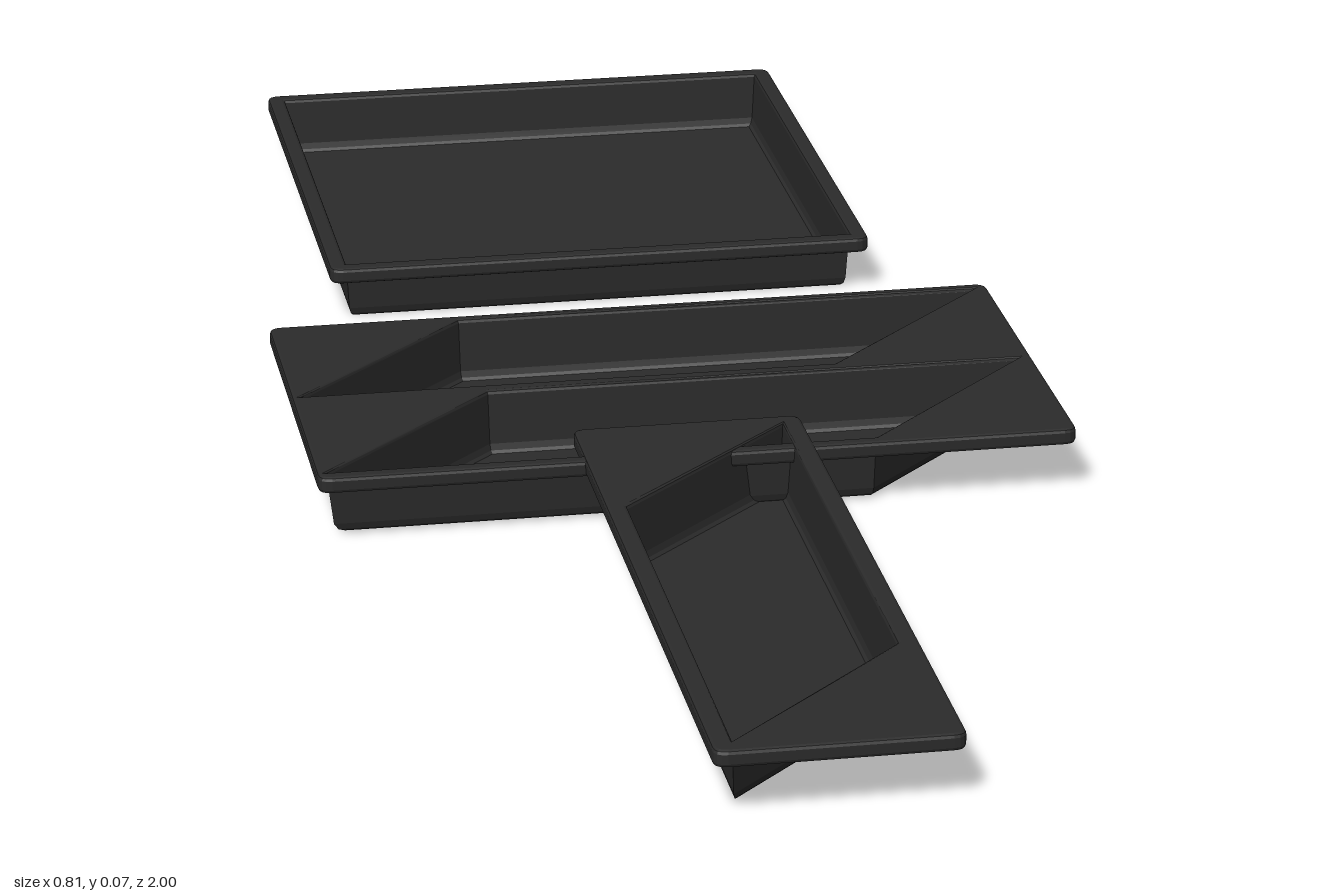
import * as THREE from 'three';

const charcoal = new THREE.MeshStandardMaterial({ color: 0x2b2b2b, side: THREE.DoubleSide });
charcoal.name = 'charcoal';

// Moves every edge of a convex outline inwards by d
function inset(points, d) {
  const n = points.length;
  const centre = points.reduce((s, p) => s.add(p), new THREE.Vector2()).divideScalar(n);
  const lines = points.map((p, i) => {
    const q = points[(i + 1) % n];
    const normal = new THREE.Vector2(p.y - q.y, q.x - p.x).normalize();
    if (normal.dot(centre.clone().sub(p)) < 0) normal.negate();
    return { normal, c: normal.dot(p) + d };
  });
  return lines.map((b, i) => {
    const a = lines[(i + n - 1) % n];
    const det = a.normal.x * b.normal.y - a.normal.y * b.normal.x;
    return new THREE.Vector2(
      (a.c * b.normal.y - b.c * a.normal.y) / det,
      (a.normal.x * b.c - b.normal.x * a.c) / det
    );
  });
}

// Rounded rectangular rim with pocket openings, lying flat
function rimGeometry([x0, x1, z0, z1], pockets, top) {
  const r = 0.014, bevel = 0.004, thickness = 0.018;
  const shape = new THREE.Shape();
  shape.moveTo(x0 + r, z0);
  shape.lineTo(x1 - r, z0);
  shape.quadraticCurveTo(x1, z0, x1, z0 + r);
  shape.lineTo(x1, z1 - r);
  shape.quadraticCurveTo(x1, z1, x1 - r, z1);
  shape.lineTo(x0 + r, z1);
  shape.quadraticCurveTo(x0, z1, x0, z1 - r);
  shape.lineTo(x0, z0 + r);
  shape.quadraticCurveTo(x0, z0, x0 + r, z0);
  for (const p of pockets) shape.holes.push(new THREE.Path(p));
  const geometry = new THREE.ExtrudeGeometry(shape, {
    depth: thickness - 2 * bevel, curveSegments: 4,
    bevelSize: bevel, bevelThickness: bevel, bevelOffset: -bevel, bevelSegments: 2
  });
  return geometry.rotateX(Math.PI / 2).translate(0, top - bevel, 0);
}

// Thin tapered walls, a softened lower edge and a flat floor
function pocketGeometry(outline, top, floor) {
  const rings = [[0, top - 0.004], [0.003, floor + 0.01], [0.005, floor + 0.003], [0.008, floor]]
    .map(([d, y]) => inset(outline, d).map(p => [p.x, y, p.y]));
  const n = outline.length, v = [];
  for (let k = 0; k < rings.length - 1; k++) {
    for (let i = 0; i < n; i++) {
      const j = (i + 1) % n, a = rings[k], b = rings[k + 1];
      v.push(...a[i], ...a[j], ...b[j], ...a[i], ...b[j], ...b[i]);
    }
  }
  const base = rings[rings.length - 1];
  for (let i = 1; i < n - 1; i++) v.push(...base[0], ...base[i], ...base[i + 1]);
  const geometry = new THREE.BufferGeometry();
  geometry.setAttribute('position', new THREE.Float32BufferAttribute(v, 3));
  geometry.computeVertexNormals();
  return geometry;
}

function tray(name, bounds, outlines, top, floor) {
  const group = new THREE.Group();
  group.name = name;
  const pockets = outlines.map(o => o.map(([x, z]) => new THREE.Vector2(x, z)));
  const add = (part, geometry) => {
    const mesh = new THREE.Mesh(geometry, charcoal);
    mesh.name = part;
    group.add(mesh);
  };
  add('rim', rimGeometry(bounds, pockets, top));
  for (const p of pockets) add('pocket', pocketGeometry(p, top, floor));
  return group;
}

export function createModel() {
  const model = new THREE.Group();
  model.name = 'trays';

  // Square tray at the back
  model.add(tray('squareTray', [-0.312, 0.312, -1, -0.376],
    [[[-0.292, -0.98], [0.292, -0.98], [0.292, -0.396], [-0.292, -0.396]]], 0.066, 0));

  // Wide tray with two slanted pockets
  const slanted = z => [[-0.195, z], [0.39, z], [0.19, z + 0.2], [-0.395, z + 0.2]];
  model.add(tray('doubleTray', [-0.405, 0.405, -0.19, 0.26],
    [slanted(-0.176), slanted(0.043)], 0.073, 0.003));

  // Long tray overlapping the front of the wide one
  model.add(tray('longTray', [-0.124, 0.121, 0.17, 1],
    [[[-0.102, 0.39], [0.099, 0.193], [0.099, 0.778], [-0.102, 0.975]]], 0.0745, 0.0045));

  return model;
}
